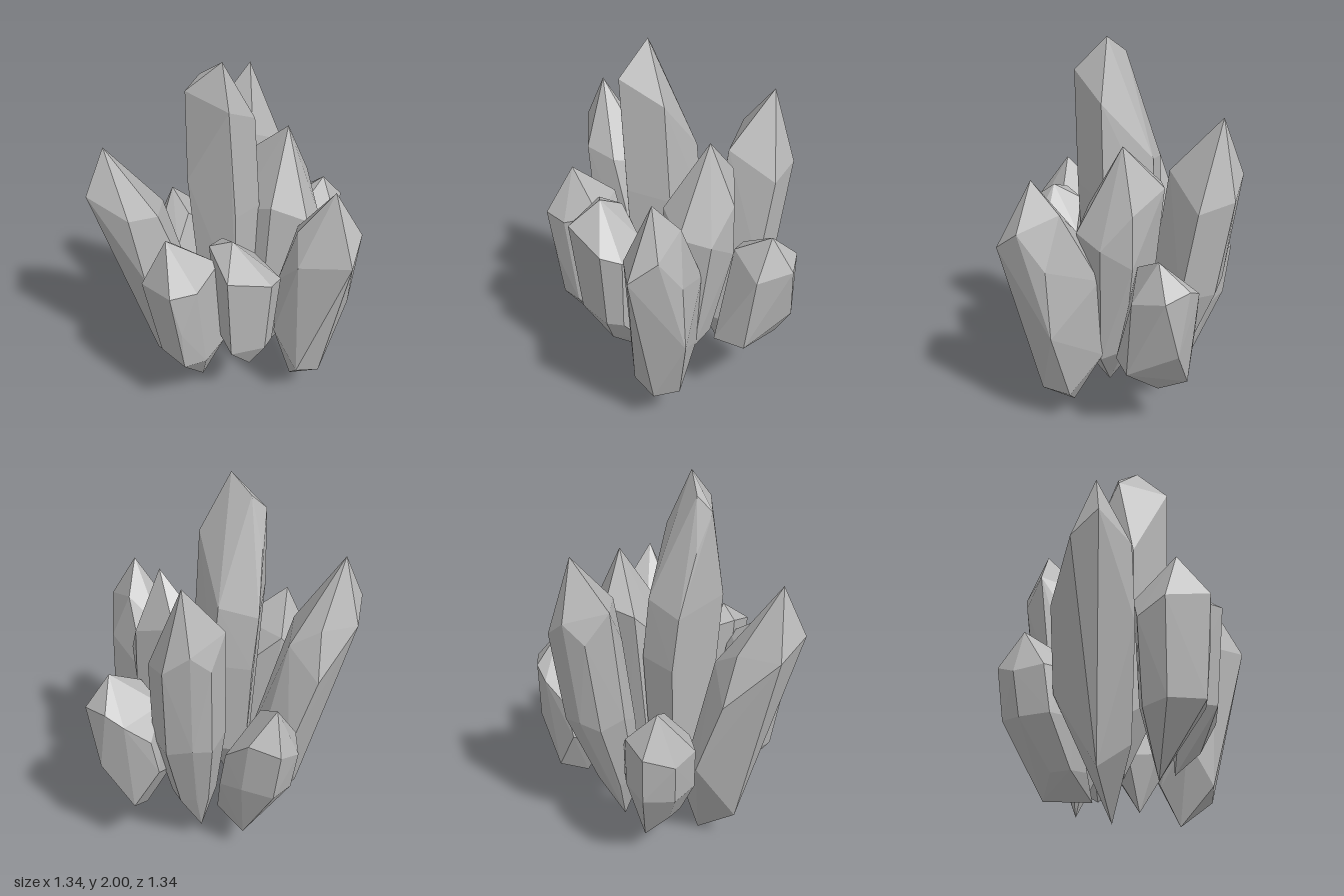
import * as THREE from 'three';
import { ConvexGeometry } from 'three/addons/geometries/ConvexGeometry.js';

// Faceted crystal: tips and low corners, a shoulder outline, and lower
// sections [x, y, z, scale] that repeat the shoulder outline about a new centre.
function crystalGeometry({ tips, shoulder, sections }) {
  const corners = shoulder.map((p) => new THREE.Vector3(...p));
  const centre = new THREE.Vector3();
  corners.forEach((p) => centre.addScaledVector(p, 1 / corners.length));
  const points = tips.map((p) => new THREE.Vector3(...p)).concat(corners);
  for (const [x, y, z, scale] of sections) {
    for (const corner of corners) {
      const offset = corner.clone().sub(centre).multiplyScalar(scale);
      offset.y *= 0.35; // flatter than the shoulder
      points.push(offset.add(new THREE.Vector3(x, y, z)));
    }
  }
  return new ConvexGeometry(points);
}

export function createModel() {
  const group = new THREE.Group();
  group.name = 'crystalCluster';
  const stone = new THREE.MeshStandardMaterial({ color: 0xb8b8b8, flatShading: true });
  stone.name = 'greyCrystal';

  const add = (name, spec) => {
    const mesh = new THREE.Mesh(crystalGeometry(spec), stone);
    mesh.name = name;
    group.add(mesh);
  };

  // Tall middle crystal with a ridged top
  add('centreCrystal', {
    tips: [[-0.12, 2, -0.04], [-0.13, 1.91, -0.165], [-0.07, 0.25, -0.09]],
    shoulder: [[-0.235, 1.83, 0.08], [-0.015, 1.7, 0.07], [0.1, 1.4, -0.17], [-0.03, 1.35, -0.32],
      [-0.12, 1.66, -0.25], [-0.2, 1.84, -0.2], [-0.27, 1.4, -0.15]],
    sections: [[-0.08, 1.15, -0.125, 1], [-0.08, 0.6, -0.11, 0.85]],
  });

  // Inner crystal in front of the middle one
  add('innerCrystal', {
    tips: [[0.22, 1.56, 0.11], [0.04, 0.13, 0.06], [0.36, 0.97, 0.15]],
    shoulder: [[0.17, 1.3, -0.17], [0.31, 1.33, -0.08], [0.355, 1.25, 0.15], [0.27, 1.07, 0.28],
      [0.11, 1.12, 0.31], [0, 1.2, 0.16], [0.01, 1.1, -0.05]],
    sections: [[0.105, 0.42, 0.065, 0.78]],
  });

  // Leaning outer crystals
  add('backLeftSideCrystal', {
    tips: [[-0.49, 1.58, -0.48], [-0.16, 0, -0.2], [-0.33, 0.2, -0.37], [-0.36, 0.32, -0.21],
      [-0.5, 0.86, -0.27], [-0.1, 0.6, -0.49], [-0.05, 0.4, -0.3], [-0.15, 0.35, -0.12]],
    shoulder: [[-0.6, 1.34, -0.52], [-0.47, 1.24, -0.6], [-0.28, 1.25, -0.515], [-0.21, 1, -0.57],
      [-0.2, 1.15, -0.38], [-0.38, 1.2, -0.26], [-0.54, 1.24, -0.31]],
    sections: [],
  });
  add('backRightSideCrystal', {
    tips: [[0.47, 1.69, -0.3], [0.24, 0.12, -0.19]],
    shoulder: [[0.59, 1.3, -0.29], [0.52, 1.4, -0.4], [0.42, 1.3, -0.435], [0.3, 1.45, -0.41],
      [0.24, 1.25, -0.3], [0.27, 1.4, -0.14], [0.52, 1.25, -0.12]],
    sections: [[0.35, 0.8, -0.25, 1], [0.26, 0.37, -0.18, 0.65]],
  });
  add('frontCrystal', {
    tips: [[0.03, 1.42, 0.51], [0.03, 0.085, 0.29], [0.22, 0.88, 0.25], [0.19, 0.42, 0.21],
      [-0.1, 0.28, 0.41], [0.02, 0.23, 0.48], [0.14, 0.21, 0.39], [0.05, 0.28, 0.19],
      [0.2, 0.63, 0.53], [-0.1, 0.5, 0.26], [-0.09, 0.85, 0.27]],
    shoulder: [[-0.14, 1.03, 0.42], [-0.05, 1.08, 0.67], [0.09, 1.19, 0.635], [0.185, 1, 0.54],
      [0.15, 1.26, 0.43], [0.07, 1.1, 0.28], [-0.06, 1.18, 0.36]],
    sections: [],
  });

  // Short outer crystals
  add('rearCrystal', {
    tips: [[0.1, 0.99, -0.57], [0.02, 0.14, -0.21], [0.15, 0.15, -0.41]],
    shoulder: [[0.18, 0.8, -0.67], [0.02, 0.73, -0.65], [-0.09, 0.75, -0.54], [-0.08, 0.75, -0.4],
      [0.05, 0.9, -0.42], [0.25, 0.7, -0.37], [0.25, 0.83, -0.52]],
    sections: [[0.08, 0.52, -0.47, 1], [0.07, 0.27, -0.34, 0.65]],
  });
  add('rightSideCrystal', {
    tips: [[0.55, 1.09, 0.14], [0.43, 0.27, 0.03], [0.28, 0.44, 0.19], [0.67, 0.61, 0.1],
      [0.58, 0.37, -0.04], [0.45, 0.45, 0.25], [0.5, 0.61, -0.15], [0.34, 0.5, -0.06]],
    shoulder: [[0.53, 0.8, -0.13], [0.63, 0.9, -0.05], [0.67, 0.95, 0.04], [0.67, 0.93, 0.19],
      [0.5, 0.88, 0.26], [0.36, 0.98, 0.12], [0.38, 0.92, -0.05]],
    sections: [],
  });
  add('leftSideCrystal', {
    tips: [[-0.55, 1.24, -0.07], [-0.33, 0.18, -0.05], [-0.62, 0.75, 0.06]],
    shoulder: [[-0.67, 1.01, 0.04], [-0.62, 0.97, -0.18], [-0.48, 0.9, -0.25], [-0.36, 1.05, -0.2],
      [-0.27, 0.9, -0.07], [-0.36, 1.06, 0.1], [-0.55, 1, 0.11]],
    sections: [[-0.43, 0.5, -0.04, 0.85]],
  });
  add('frontLeftSideCrystal', {
    tips: [[-0.33, 1.2, 0.16], [-0.18, 0.27, 0.13], [-0.115, 0.36, 0.18], [-0.27, 0.37, 0.22]],
    shoulder: [[-0.48, 1.07, 0.24], [-0.37, 1.15, 0.05], [-0.25, 1.12, 0.04], [-0.13, 1, 0.15],
      [-0.09, 0.9, 0.22], [-0.17, 0.95, 0.34], [-0.28, 0.98, 0.36]],
    sections: [[-0.25, 0.55, 0.19, 0.8]],
  });

  return group;
}
